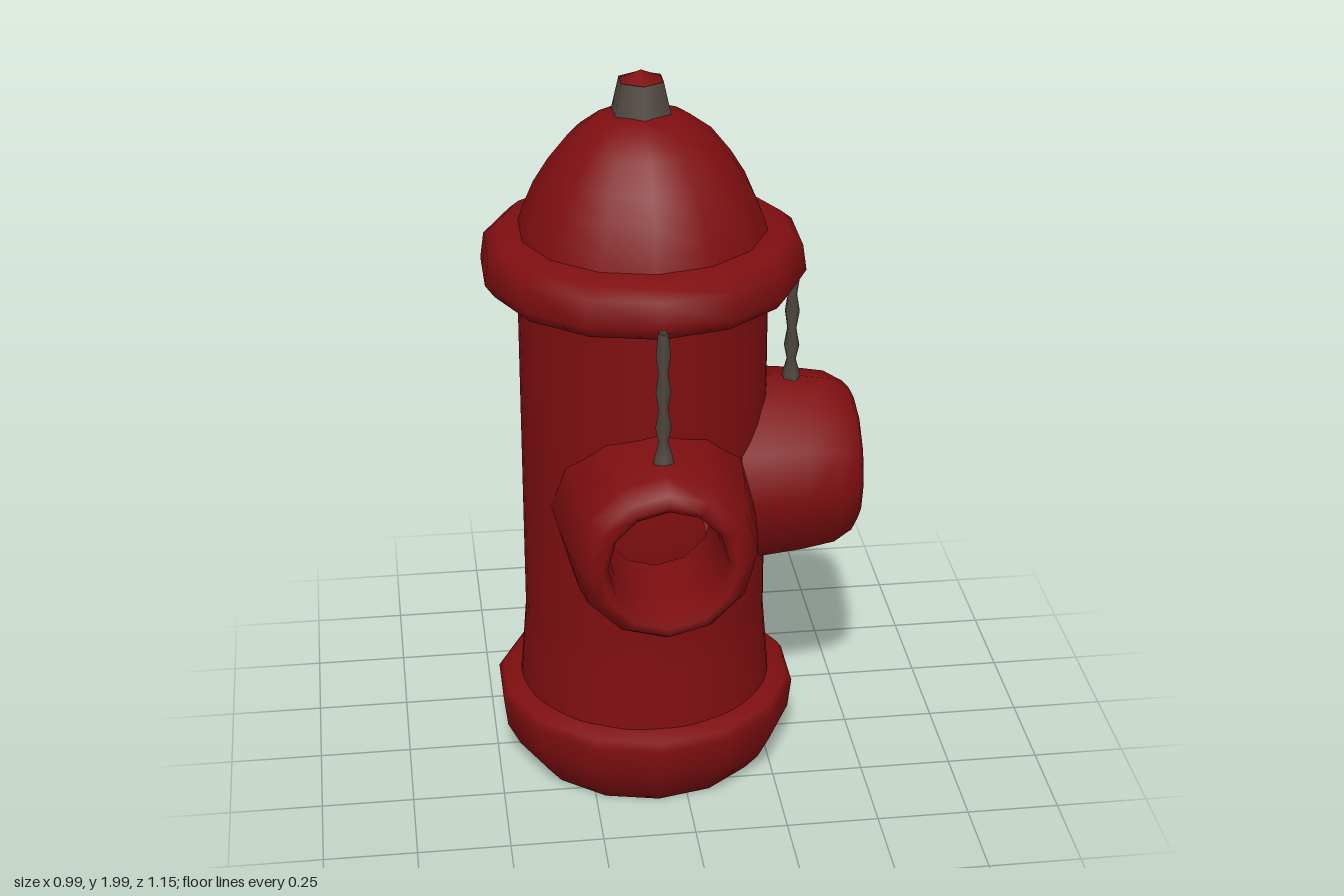
import * as THREE from 'three';

const AXIS_X = -0.08;   // the barrel stands a little to the right of centre
const PORT_Y = 0.87;    // height of the outlet axes
const PORT_ANGLES = { frontOutlet: 0, backOutlet: Math.PI, leftOutlet: Math.PI / 2 };

export function createModel() {
  const group = new THREE.Group();
  group.name = 'fireHydrant';

  const red = new THREE.MeshStandardMaterial({ color: 0x7e0e10, side: THREE.DoubleSide });
  red.name = 'red paint';
  const metal = new THREE.MeshStandardMaterial({ color: 0x4f463f, side: THREE.DoubleSide });
  metal.name = 'worn metal';

  const hydrant = new THREE.Group();
  hydrant.name = 'hydrant';
  hydrant.position.x = AXIS_X;
  group.add(hydrant);

  const add = (name, geometry, material, parent = hydrant) => {
    const mesh = new THREE.Mesh(geometry, material);
    mesh.name = name;
    parent.add(mesh);
    return mesh;
  };
  const lathe = (points, sides) =>
    new THREE.LatheGeometry(points.map(([r, y]) => new THREE.Vector2(r, y)), sides);

  // Hollow barrel, with wall cells left out behind each outlet
  const barrel = new THREE.CylinderGeometry(0.33, 0.33, 1.25, 48, 30, true);
  barrel.translate(0, 0.825, 0);
  const pos = barrel.attributes.position;
  for (let i = 0; i < pos.count; i++) {
    const flare = 1 + 0.06 * Math.max(0, 1 - (pos.getY(i) - 0.2) / 0.25);
    pos.setX(i, pos.getX(i) * flare);
    pos.setZ(i, pos.getZ(i) * flare);
  }
  const centre = new THREE.Vector3(), corner = new THREE.Vector3();
  const kept = [];
  const old = barrel.index.array;
  for (let t = 0; t < old.length; t += 3) {
    centre.set(0, 0, 0);
    for (let k = 0; k < 3; k++) centre.add(corner.fromBufferAttribute(pos, old[t + k]));
    centre.divideScalar(3);
    const inPort = Object.values(PORT_ANGLES).some((a) => {
      const along = centre.x * Math.sin(a) + centre.z * Math.cos(a);
      const across = centre.x * Math.cos(a) - centre.z * Math.sin(a);
      return along > 0 && Math.hypot(across, centre.y - PORT_Y) < 0.2;
    });
    if (!inPort) kept.push(old[t], old[t + 1], old[t + 2]);
  }
  barrel.setIndex(kept);
  barrel.clearGroups();
  barrel.computeVertexNormals();
  add('barrel', barrel, red);

  // Open base flange
  add('baseFlange', lathe([
    [0.33, 0.22], [0.3, 0.1], [0.29, 0.03], [0.33, 0.01], [0.37, 0.06],
    [0.405, 0.13], [0.415, 0.215], [0.4, 0.235], [0.34, 0.25],
  ], 14), red);

  // Bonnet: brim with a recessed underside, then the dome
  add('bonnetBrim', lathe([
    [0.31, 1.44], [0.36, 1.46], [0.405, 1.435], [0.43, 1.47],
    [0.42, 1.54], [0.39, 1.565], [0.32, 1.58],
  ], 14), red);
  add('bonnetDome', lathe([
    [0.33, 1.57], [0.315, 1.62], [0.285, 1.69], [0.245, 1.755],
    [0.19, 1.825], [0.13, 1.87], [0.08, 1.89], [0, 1.9],
  ], 14), red);

  // Operating nut with a red cap
  const nut = add('operatingNut', new THREE.CylinderGeometry(0.063, 0.085, 0.09, 6, 1, true), metal);
  nut.position.set(0, 1.93, -0.01);
  const cap = add('nutCap', new THREE.ConeGeometry(0.063, 0.03, 6), red);
  cap.position.set(0, 1.985, -0.01);

  // Three outlets with rounded lips and open bores
  for (const [name, angle] of Object.entries(PORT_ANGLES)) {
    const outlet = lathe([
      [0.27, 0.18], [0.26, 0.32], [0.25, 0.42], [0.235, 0.51], [0.205, 0.56],
      [0.175, 0.575], [0.155, 0.55], [0.148, 0.45], [0.15, 0.28],
    ], 12);
    outlet.rotateX(Math.PI / 2);
    outlet.rotateY(angle);
    add(name, outlet, red).position.y = PORT_Y;
  }

  // Retaining chains hanging from the brim to each outlet
  const linkProfile = [
    [0.03, 1.1], [0.024, 1.13], [0.013, 1.17], [0.022, 1.21], [0.013, 1.26],
    [0.021, 1.31], [0.013, 1.36], [0.02, 1.41], [0.014, 1.47],
  ];
  for (const [name, angle] of Object.entries(PORT_ANGLES)) {
    const reach = name === 'leftOutlet' ? 0.4 : 0.44;
    const chain = add(name.replace('Outlet', 'Chain'), lathe(linkProfile, 5), metal);
    chain.position.set(Math.sin(angle) * reach, 0, Math.cos(angle) * reach);
    chain.rotation.y = angle;
  }

  return group;
}
